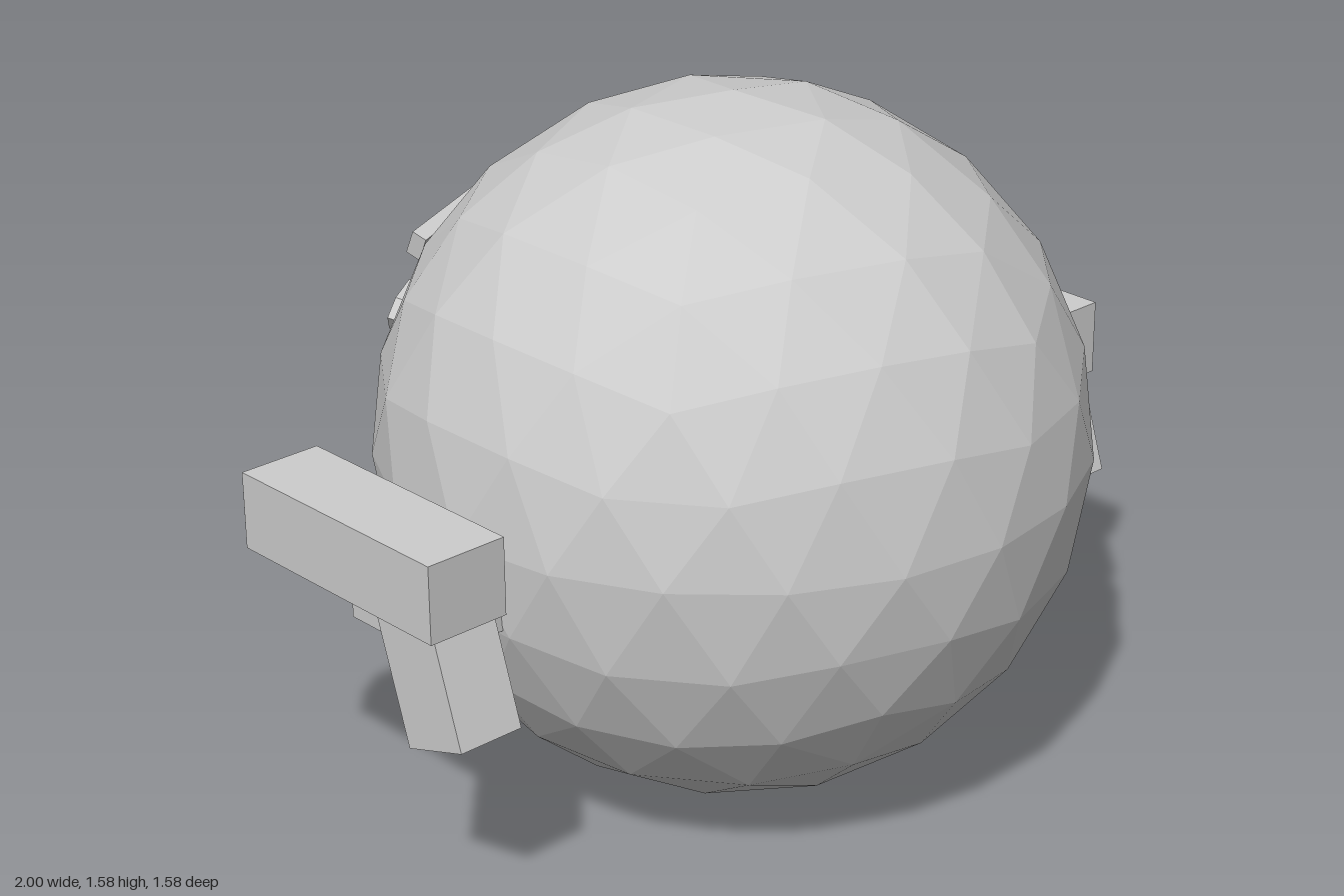
import * as THREE from 'three';

const grey = new THREE.MeshStandardMaterial({ color: 0xcccccc });
grey.name = 'plain grey';
grey.flatShading = true;

const RADIUS = 0.788;

function addMesh(parent, name, geometry, x, y, z) {
  const mesh = new THREE.Mesh(geometry, grey);
  mesh.name = name;
  mesh.position.set(x, y, z);
  parent.add(mesh);
  return mesh;
}

const box = (w, h, d) => new THREE.BoxGeometry(w, h, d);

// Icosphere with a corner at the top, halved twice
function icosphere(radius) {
  const verts = [0, 1, 0];
  const ring = (offset, y) => {
    for (let i = 0; i < 5; i++) {
      const a = offset + (i * Math.PI * 2) / 5;
      verts.push(0.8944 * Math.cos(a), y, 0.8944 * Math.sin(a));
    }
  };
  ring(0, 0.4472);
  ring(Math.PI / 5, -0.4472);
  verts.push(0, -1, 0);
  const faces = [];
  for (let i = 0; i < 5; i++) {
    const j = (i + 1) % 5;
    const u = 1 + i, un = 1 + j, l = 6 + i, ln = 6 + j;
    faces.push(0, un, u, u, un, l, un, ln, l, l, ln, 11);
  }
  const once = new THREE.PolyhedronGeometry(verts, faces, 1, 1);
  const pos = Array.from(once.attributes.position.array);
  const order = Array.from({ length: pos.length / 3 }, (_, i) => i);
  return new THREE.PolyhedronGeometry(pos, order, radius, 1);
}

// Flat-topped half ellipse for the smile
function smileGeometry(halfWidth, height, depth) {
  const points = [];
  for (let i = 0; i <= 8; i++) {
    const a = Math.PI + (i / 8) * Math.PI;
    points.push(new THREE.Vector2(halfWidth * Math.cos(a), height * Math.sin(a)));
  }
  const geo = new THREE.ExtrudeGeometry(new THREE.Shape(points), { depth, bevelEnabled: false });
  return geo.translate(0, height / 2, -depth / 2);
}

// Pistol pointing to -z, held by a short arm; s is the side
function addPistol(parent, s) {
  const pistol = new THREE.Group();
  pistol.name = s > 0 ? 'leftPistol' : 'rightPistol';
  const x = s * 0.903;
  addMesh(pistol, 'slide', box(0.194, 0.174, 0.61), x, 0.784, -0.125);
  addMesh(pistol, 'muzzle', box(0.15, 0.128, 0.06), x, 0.786, -0.432);
  addMesh(pistol, 'grip', box(0.157, 0.34, 0.176), x, 0.603, 0.103).rotation.x = -0.315;
  addMesh(pistol, 'trigger', box(0.1, 0.06, 0.13), x, 0.658, -0.07);
  addMesh(pistol, 'arm', box(0.2, 0.122, 0.15), s * 0.79, 0.678, 0.035);
  parent.add(pistol);
}

export function createModel() {
  const model = new THREE.Group();
  model.name = 'ballCharacter';

  addMesh(model, 'body', icosphere(RADIUS), 0, RADIUS, 0);

  // Face, on the -z side
  const face = new THREE.Group();
  face.name = 'face';
  model.add(face);
  for (const s of [1, -1]) {
    const side = s > 0 ? 'left' : 'right';
    const brow = addMesh(face, side + 'Eyebrow', box(0.317, 0.06, 0.036), s * 0.234, 1.183, -0.647);
    brow.rotation.set(0.44, -s * 0.315, 0);

    const eyeGeo = new THREE.CylinderGeometry(1, 1, 0.03, 8).rotateX(Math.PI / 2).scale(0.1, 0.055, 1);
    const eye = addMesh(face, side + 'Eye', eyeGeo, s * 0.357, 1.0, -0.667);
    eye.rotation.set(0.24, -s * 0.52, 0, 'YXZ');

    addPistol(model, s);
  }
  addMesh(face, 'mouth', smileGeometry(0.175, 0.062, 0.032), 0, 0.941, -0.77).rotation.x = 0.27;

  return model;
}
